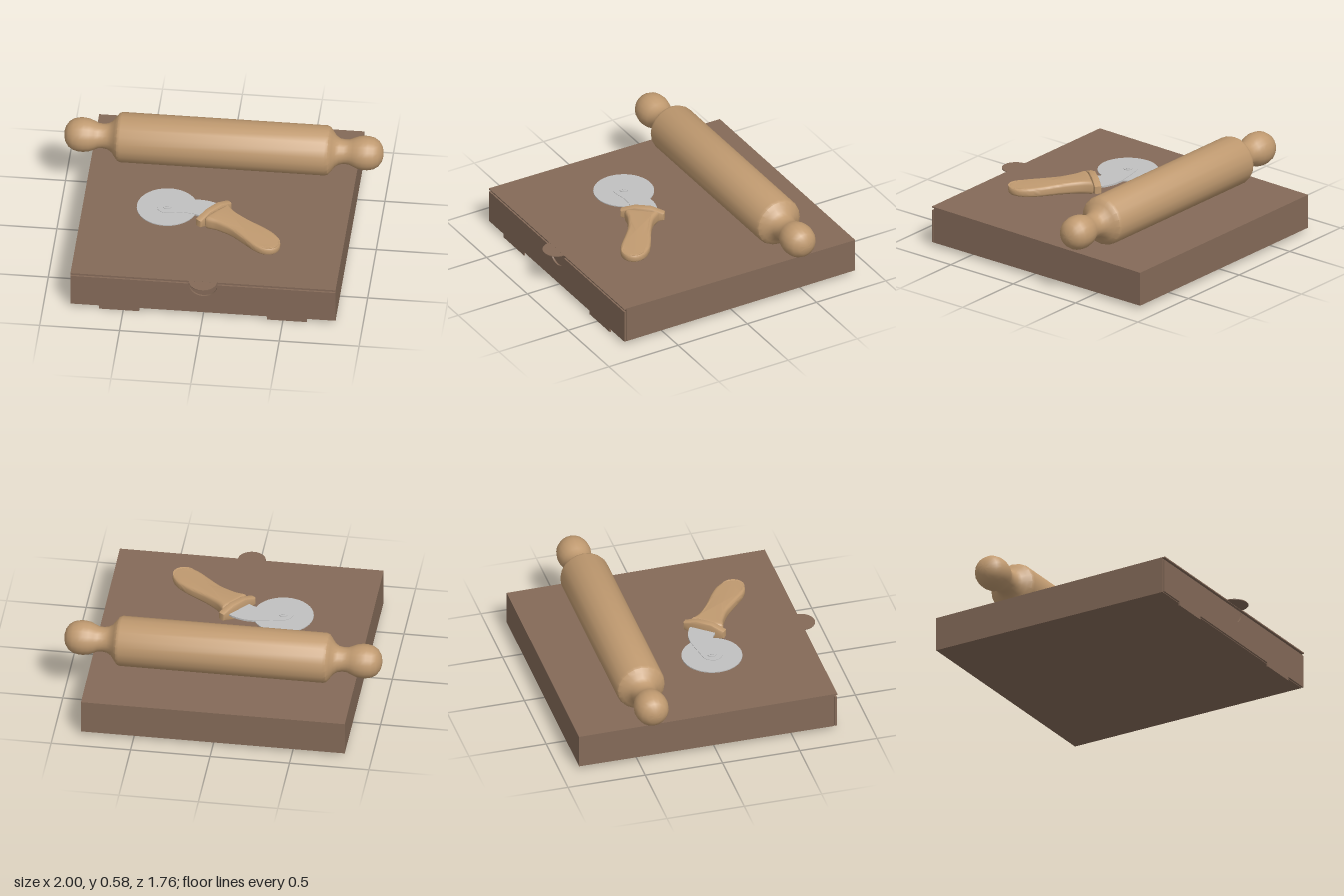
import * as THREE from 'three';
import { toCreasedNormals } from 'three/addons/utils/BufferGeometryUtils.js';

const material = (name, color) => {
  const m = new THREE.MeshStandardMaterial({ color });
  m.name = name;
  return m;
};

const pts = (list) => list.map(([a, b]) => new THREE.Vector2(a, b));

function smoothShape(list, divisions = 48) {
  const curve = new THREE.SplineCurve(pts([...list, list[0]]));
  return new THREE.Shape(curve.getPoints(divisions));
}

// Plate drawn in (x, z), centred on y = 0
function flatPlate(shape, depth, bevel = {}) {
  const g = new THREE.ExtrudeGeometry(shape, { depth, bevelEnabled: false, curveSegments: 16, ...bevel });
  g.translate(0, 0, -depth / 2);
  return g.rotateX(Math.PI / 2);
}

// Profile drawn in (z, y), extruded over the full width along x
function widthProfile(list, halfWidth) {
  const g = new THREE.ExtrudeGeometry(new THREE.Shape(pts(list)), { depth: 2 * halfWidth, bevelEnabled: false });
  g.translate(0, 0, -halfWidth);
  return g.rotateY(-Math.PI / 2);
}

export function createModel() {
  const model = new THREE.Group();
  const card = material('brown cardboard', 0x846a58);
  const wood = material('tan wood', 0xc09a70);
  const metal = material('grey metal', 0xc0c0c0);

  const add = (parent, name, geometry, mat, x = 0, y = 0, z = 0) => {
    const mesh = new THREE.Mesh(geometry, mat);
    mesh.name = name;
    mesh.position.set(x, y, z);
    parent.add(mesh);
    return mesh;
  };
  const group = (name) => {
    const g = new THREE.Group();
    g.name = name;
    model.add(g);
    return g;
  };

  // Cardboard box with a gently sloping lid
  const box = group('box');
  add(box, 'boxBody', widthProfile([[-0.88, 0.025], [0.772, 0.025], [0.772, 0.256], [-0.88, 0.239]], 0.83), card);
  add(box, 'lid', widthProfile([[-0.88, 0.239], [0.79, 0.256], [0.79, 0.264], [-0.88, 0.246]], 0.83), card);

  // Front panel with a round thumb notch
  const front = new THREE.Shape();
  front.moveTo(-0.83, 0.025);
  front.lineTo(0.83, 0.025);
  front.lineTo(0.83, 0.241);
  front.lineTo(0.09, 0.241);
  front.absarc(0, 0.241, 0.09, 0, Math.PI, true);
  front.lineTo(-0.83, 0.241);
  front.closePath();
  add(box, 'frontPanel', new THREE.ExtrudeGeometry(front, { depth: 0.012, bevelEnabled: false, curveSegments: 20 }),
    card, 0, 0, 0.776);
  for (const s of [-1, 1]) {
    add(box, 'lockingTab', new THREE.BoxGeometry(0.25, 0.03, 0.008), card, s * 0.525, 0.015, 0.784);
  }

  // Half-round lid tongue
  const tongue = new THREE.Shape();
  tongue.moveTo(0.085, 0.78);
  tongue.absarc(0, 0.79, 0.087, 0, Math.PI, false);
  tongue.lineTo(-0.085, 0.78);
  add(box, 'lidTongue', flatPlate(tongue, 0.005), card, 0, 0.261, 0);

  // Rolling pin: half profile (radius, distance), mirrored
  const half = [[0.157, 0.64], [0.15, 0.66], [0.125, 0.68], [0.098, 0.7], [0.082, 0.725], [0.077, 0.755],
    [0.079, 0.785], [0.09, 0.81], [0.102, 0.84], [0.108, 0.875], [0.107, 0.905], [0.099, 0.94],
    [0.08, 0.97], [0.05, 0.99], [0.02, 0.998], [0, 1]];
  const profile = [...half.map(([r, d]) => [r, -d]).reverse(), ...half];
  const pin = new THREE.LatheGeometry(pts(profile), 20).rotateZ(-Math.PI / 2);
  add(model, 'rollingPin', toCreasedNormals(pin, 0.6), wood, 0, 0.422, -0.43);

  // Wheel cutter lying flat on the lid
  const cutter = group('cutter');
  cutter.position.y = 0.325;
  add(cutter, 'wheel', new THREE.CylinderGeometry(0.19, 0.19, 0.006, 48), metal, -0.295, 0, 0.13);
  const arm = smoothShape([[-0.36, 0.13], [-0.33, 0.08], [-0.25, 0.06], [-0.13, 0.04], [-0.03, 0.05],
    [0.05, 0.1], [0.02, 0.2], [-0.06, 0.215], [-0.11, 0.19], [-0.2, 0.18], [-0.3, 0.195], [-0.345, 0.172]]);
  add(cutter, 'arm', flatPlate(arm, 0.012), metal);
  add(cutter, 'axleBolt', new THREE.CylinderGeometry(0.028, 0.028, 0.02, 16), metal, -0.295, 0, 0.13);
  add(cutter, 'axlePin', new THREE.CylinderGeometry(0.012, 0.012, 0.026, 12), metal, -0.295, 0, 0.13);

  // Handle: rounded slab with a hanging hole, thinner towards its end
  const outline = smoothShape([[0.085, 0.1], [0.13, 0.165], [0.22, 0.235], [0.32, 0.295], [0.4, 0.355],
    [0.442, 0.42], [0.442, 0.48], [0.405, 0.52], [0.345, 0.525], [0.28, 0.49], [0.2, 0.415],
    [0.12, 0.345], [0.03, 0.295], [-0.045, 0.255]], 56);
  const hole = new THREE.Path();
  hole.absarc(0.375, 0.455, 0.05, 0, Math.PI * 2, true);
  outline.holes.push(hole);
  const handle = flatPlate(outline, 0.036, {
    bevelEnabled: true, bevelThickness: 0.027, bevelSize: 0.022, bevelOffset: -0.022, bevelSegments: 4,
  });
  const p = handle.attributes.position;
  for (let i = 0; i < p.count; i++) {
    const along = 0.78 * p.getX(i) + 0.63 * (p.getZ(i) - 0.165);
    const t = THREE.MathUtils.clamp(along / 0.5, 0, 1);
    p.setY(i, p.getY(i) * (1 - 0.4 * t));
  }
  add(cutter, 'handle', toCreasedNormals(handle, 0.7), wood);

  // Guard between arm and handle
  const guardShape = new THREE.Shape(pts([[-0.13, -0.018], [-0.05, -0.045], [0.05, -0.045], [0.13, -0.018],
    [0.13, 0.018], [0.05, 0.045], [-0.05, 0.045], [-0.13, 0.018]]));
  const guard = new THREE.ExtrudeGeometry(guardShape, {
    depth: 0.026, bevelThickness: 0.01, bevelSize: 0.008, bevelSegments: 2,
  });
  guard.translate(0, 0, -0.013);
  add(cutter, 'guard', toCreasedNormals(guard, 0.5), wood, 0, 0, 0.167).rotation.y = Math.atan2(0.78, 0.63);

  return model;
}
